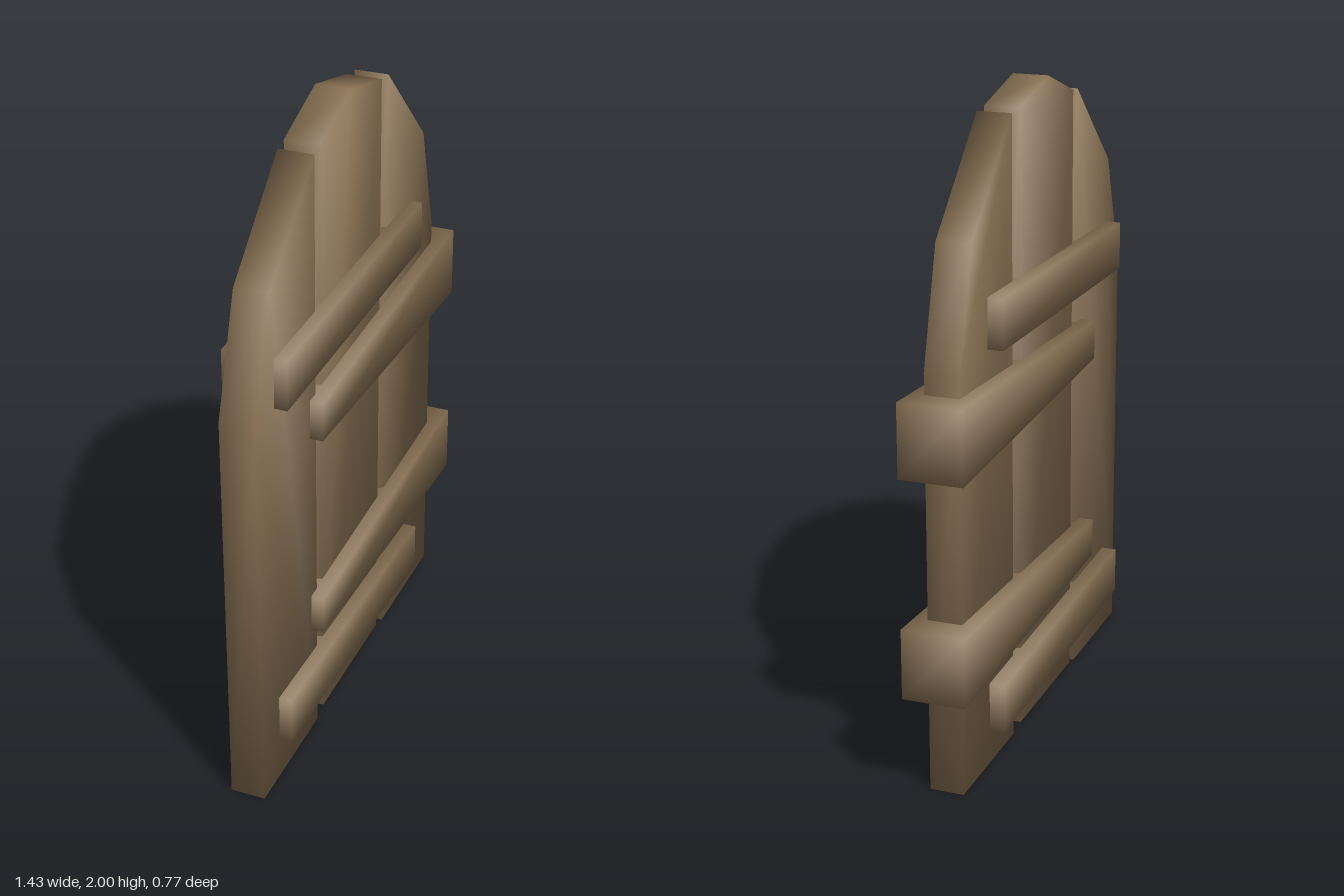
import * as THREE from 'three';

const wood = new THREE.MeshStandardMaterial({ color: 0x8b7355 });
wood.name = 'brown wood';

// Slab with a convex outline (counter-clockwise [x, y] points) between z = back and front.
// ridges: { edgeIndex: [[x, y], [x, y]] } turns that edge into a V-shaped bevel.
function slab(name, outline, back, front, ridges = {}) {
  const F = outline.map(([x, y]) => new THREE.Vector3(x, y, front));
  const B = outline.map(([x, y]) => new THREE.Vector3(x, y, back));
  const faces = [F, [...B].reverse()];
  outline.forEach((_, i) => {
    const j = (i + 1) % outline.length;
    if (!ridges[i]) {
      faces.push([F[i], B[i], B[j], F[j]]);
      return;
    }
    const [p, q] = ridges[i].map(([x, y]) => new THREE.Vector3(x, y, (back + front) / 2));
    faces.push([F[i], p, q, F[j]], [p, B[i], B[j], q], [F[i], B[i], p], [F[j], q, B[j]]);
  });

  // Soft shading: each corner takes the mean direction of the faces that meet there
  const normals = new Map();
  for (const f of faces) {
    const n = f[1].clone().sub(f[0]).cross(f[2].clone().sub(f[0])).normalize();
    for (const v of f) normals.set(v, (normals.get(v) || new THREE.Vector3()).add(n));
  }
  const pos = [], nor = [];
  for (const f of faces) {
    for (let k = 1; k < f.length - 1; k++) {
      for (const v of [f[0], f[k], f[k + 1]]) {
        pos.push(...v.toArray());
        nor.push(...normals.get(v).clone().normalize().toArray());
      }
    }
  }
  const g = new THREE.BufferGeometry();
  g.setAttribute('position', new THREE.Float32BufferAttribute(pos, 3));
  g.setAttribute('normal', new THREE.Float32BufferAttribute(nor, 3));
  const mesh = new THREE.Mesh(g, wood);
  mesh.name = name;
  return mesh;
}

// Crossbar whose ends have their own bottom and top heights
const bar = (name, x0, x1, [b0, t0], [b1, t1]) =>
  slab(name, [[x0, b0], [x1, b1], [x1, t1], [x0, t0]], -0.088, 0.108);

export function createModel() {
  const model = new THREE.Group();
  model.name = 'plankDoor';
  const door = new THREE.Group();
  door.name = 'door';
  door.rotation.y = 0.43; // door stands ajar
  model.add(door);

  // Three upright planks forming an arched top, with V grooves between them
  door.add(
    slab('rightPlank',
      [[-0.345, 0], [-0.345, 1.915], [-0.655, 1.635], [-0.769, 1.28], [-0.758, 0]],
      -0.04, 0.068, { 0: [[-0.315, 0.06], [-0.315, 1.83]] }),
    slab('middlePlank',
      [[-0.293, 0.015], [0.17, 0.015], [0.17, 1.945], [-0.067, 2], [-0.293, 1.92]],
      -0.044, 0.066, {
        1: [[0.198, 0.07], [0.198, 1.87]],
        4: [[-0.315, 1.85], [-0.315, 0.07]],
      }),
    slab('leftPlank',
      [[0.224, 0], [0.636, 0], [0.636, 1.285], [0.54, 1.635], [0.224, 1.94]],
      -0.04, 0.066, { 4: [[0.198, 1.86], [0.198, 0.06]] }),
  );

  // Battens and wider, tapering hinge bars wrapping both faces
  door.add(
    bar('upperBatten', -0.64, 0.423, [1.28, 1.432], [1.302, 1.455]),
    bar('lowerBatten', -0.64, 0.423, [0.14, 0.29], [0.108, 0.262]),
    bar('upperHingeBar', -0.388, 0.734, [1.045, 1.17], [1.0, 1.225]),
    bar('lowerHingeBar', -0.388, 0.734, [0.37, 0.492], [0.33, 0.547]),
  );
  return model;
}
